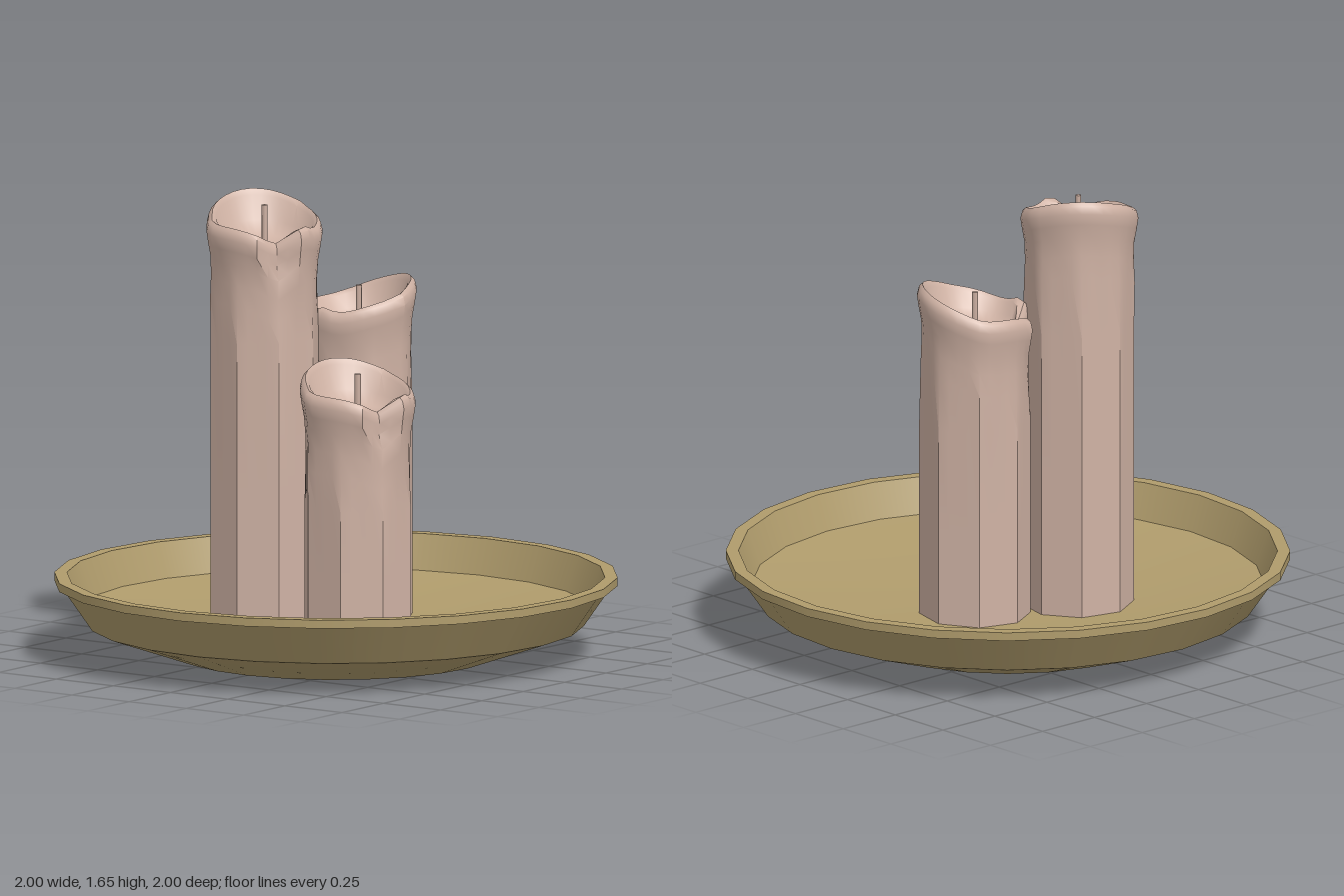
import * as THREE from 'three';
import { toCreasedNormals } from 'three/addons/utils/BufferGeometryUtils.js';

const wax = new THREE.MeshStandardMaterial({ color: 0xcfb2a4 });
wax.name = 'wax';
const brass = new THREE.MeshStandardMaterial({ color: 0xb09c6c });
brass.name = 'brass';

const SEG = 32, FLOOR = 0.1, R = 0.198;
const lerp = THREE.MathUtils.lerp;
const wrap = (a) => Math.atan2(Math.sin(a), Math.cos(a));
const bell = (a, width) => Math.exp(-((wrap(a) / width) ** 2));

// Rim height below the peak; the low spout is at angle 0, the peak at PI
function rimHeight(t) {
  const c = (1 - Math.cos(t)) / 2;
  return -0.1 + 0.1 * c * c - 0.045 * bell(t, 0.28) + 0.012 * bell(t - 0.55, 0.2)
    + 0.006 * Math.sin(5 * t) * (1 - c);
}

// Wax runs: angle, width, length below the peak, thickness
const drips = [[0.45, 0.16, 0.32, 0.014], [-0.4, 0.18, 0.24, 0.012], [2.2, 0.14, 0.5, 0.009], [-1.5, 0.15, 0.42, 0.009]];

function dripBulge(t, below) {
  let sum = 0;
  for (const [angle, width, length, size] of drips) {
    if (below < length) sum += size * bell(t - angle, width);
  }
  return sum;
}

// Octagon factor for the lower shaft
function octagon(t) {
  const step = Math.PI / 4;
  const local = ((t % step) + step) % step - step / 2;
  return Math.cos(step / 2) / Math.cos(local);
}

function candleGeometry(top) {
  const rows = [];
  const shaft = top - 0.5;
  // Outer shaft: absolute heights, octagonal
  for (const f of [0, 0.5, 1]) {
    rows.push((t) => [R * octagon(t), lerp(FLOOR, shaft, f)]);
  }
  // Upper shaft and swollen lip: follow the rim, rounder towards the top
  for (const [drop, radius, round] of [[0.28, 0.193, 0.4], [0.2, 0.19, 0.7], [0.13, 0.191, 1], [0.08, 0.2, 1], [0.04, 0.206, 1], [0.012, 0.199, 1], [0, 0.186, 1]]) {
    rows.push((t) => {
      const below = drop - rimHeight(t);
      const fold = drop < 0.1 ? 0.035 * bell(t, 0.25) : 0;
      return [radius * lerp(octagon(t), 1, round) + dripBulge(t, below) - fold, top - below];
    });
  }
  // Melted bowl
  for (const [radius, f] of [[0.172, 0.12], [0.15, 0.6], [0.11, 0.88], [0.05, 0.98], [0.001, 1]]) {
    rows.push((t) => [radius - 0.035 * bell(t, 0.3) * (1 - f), top + lerp(rimHeight(t), -0.18, f)]);
  }

  const positions = [], index = [];
  rows.forEach((row, j) => {
    for (let i = 0; i < SEG; i++) {
      const t = (i / SEG) * Math.PI * 2;
      const [r, y] = row(t);
      positions.push(r * Math.sin(t), y, r * Math.cos(t));
      if (j === rows.length - 1) continue;
      const a = j * SEG + i, b = j * SEG + (i + 1) % SEG;
      index.push(a, b, a + SEG, b, b + SEG, a + SEG);
    }
  });
  const geo = new THREE.BufferGeometry();
  geo.setAttribute('position', new THREE.Float32BufferAttribute(positions, 3));
  geo.setIndex(index);
  return toCreasedNormals(geo, 0.72);
}

function candle(name, x, z, top, spoutDegrees) {
  const group = new THREE.Group();
  group.name = name;
  const body = new THREE.Mesh(candleGeometry(top), wax);
  body.name = name + 'Body';
  const wick = new THREE.Mesh(new THREE.CylinderGeometry(0.011, 0.011, 0.16, 6), wax);
  wick.name = name + 'Wick';
  wick.position.y = top - 0.11;
  group.add(body, wick);
  group.position.set(x, 0, z);
  group.rotation.y = THREE.MathUtils.degToRad(spoutDegrees);
  return group;
}

// Each strip is a separate lathe, so the edges between strips stay sharp
function plate() {
  const group = new THREE.Group();
  group.name = 'plate';
  const strips = {
    underside: [[0, 0], [0.56, 0.004], [0.88, 0.115]],
    outerWall: [[0.88, 0.115], [0.98, 0.26]],
    lipUnderside: [[0.98, 0.26], [1, 0.26]],
    lipEdge: [[1, 0.26], [1, 0.29]],
    lipTop: [[1, 0.29], [0.955, 0.29]],
    innerWall: [[0.955, 0.29], [0.91, 0.165]],
    floor: [[0.91, 0.165], [0.5, 0.118], [0, 0.105]],
  };
  for (const [name, points] of Object.entries(strips)) {
    const profile = points.map(([r, y]) => new THREE.Vector2(r, y));
    const mesh = new THREE.Mesh(new THREE.LatheGeometry(profile, 24, 0.04), brass);
    mesh.name = name;
    group.add(mesh);
  }
  return group;
}

export function createModel() {
  const model = new THREE.Group();
  model.name = 'candlesOnPlate';
  model.add(
    plate(),
    candle('tallCandle', -0.2, 0.155, 1.65, 51),
    candle('middleCandle', -0.045, -0.2, 1.33, -38),
    candle('shortCandle', 0.2, 0.145, 1.08, 63),
  );
  return model;
}
